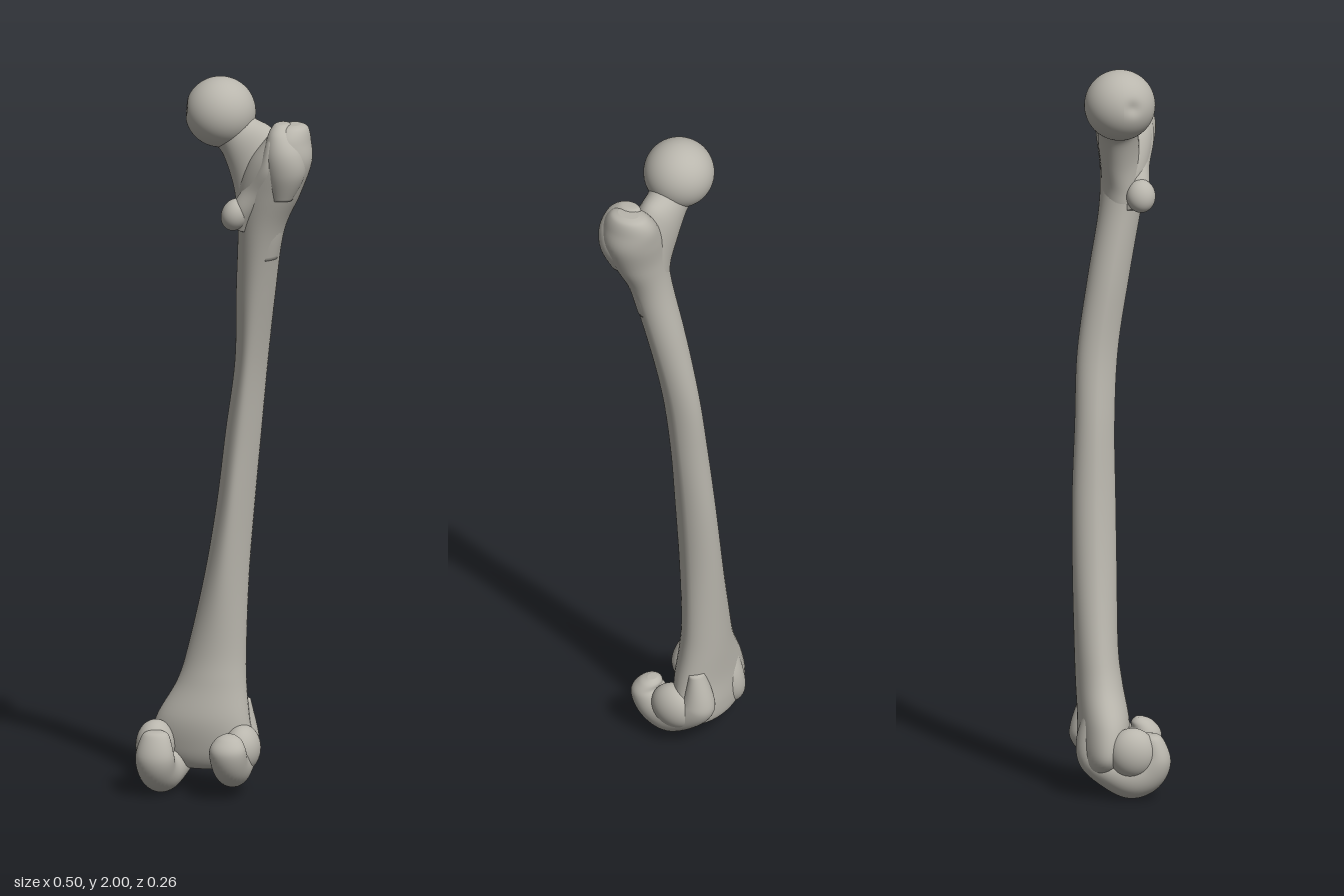
import * as THREE from 'three';

const RING = 40, STEPS = 7;

// Smooth loft through elliptical sections: [x, y, z, radius, zRadius, tiltDegrees, taper]
// The ring's first axis is tilted in the xy plane, the second is z; taper narrows the +z side.
function loft(sections) {
  const rows = [];
  const n = sections.length;
  const at = (i, c) => sections[Math.min(n - 1, Math.max(0, i))][c] ?? 0;
  for (let i = 0; i < n - 1; i++) {
    for (let s = 0; s < STEPS + (i === n - 2 ? 1 : 0); s++) {
      const t = s / STEPS;
      rows.push([0, 1, 2, 3, 4, 5, 6].map((c) => {
        const a = at(i - 1, c), b = at(i, c), d = at(i + 1, c), e = at(i + 2, c);
        return b + 0.5 * t * (d - a + t * (2 * a - 5 * b + 4 * d - e + t * (3 * (b - d) + e - a)));
      }));
    }
  }
  const pos = [], index = [];
  for (const [x, y, z, ru, rz, tilt, taper] of rows) {
    const a = THREE.MathUtils.degToRad(tilt);
    for (let j = 0; j < RING; j++) {
      const t = (j / RING) * Math.PI * 2;
      const u = Math.cos(t) * ru * (1 - taper * Math.max(0, Math.sin(t)));
      pos.push(x + u * Math.cos(a), y + u * Math.sin(a), z + Math.sin(t) * rz);
    }
  }
  const last = rows.length - 1;
  for (let i = 0; i < last; i++) {
    for (let j = 0; j < RING; j++) {
      const k = (j + 1) % RING, a = i * RING;
      index.push(a + j, a + RING + j, a + k, a + k, a + RING + j, a + RING + k);
    }
  }
  // End caps
  const base = rows.length * RING;
  pos.push(...rows[0].slice(0, 3), ...rows[last].slice(0, 3));
  for (let j = 0; j < RING; j++) {
    const k = (j + 1) % RING;
    index.push(base, j, k, base + 1, last * RING + k, last * RING + j);
  }
  const g = new THREE.BufferGeometry();
  g.setAttribute('position', new THREE.Float32BufferAttribute(pos, 3));
  g.setIndex(index);
  g.computeVertexNormals();
  return g;
}

// Ball of the joint with a shallow pit on its inner side
function headGeometry(radius) {
  const g = new THREE.SphereGeometry(radius, 64, 48);
  const p = g.attributes.position, v = new THREE.Vector3();
  const pit = new THREE.Vector3(-0.95, 0.1, 0.28).normalize();
  for (let i = 0; i < p.count; i++) {
    v.fromBufferAttribute(p, i);
    const d = v.angleTo(pit) / 0.2;
    v.multiplyScalar(1 - 0.09 * Math.exp(-d * d));
    p.setXYZ(i, v.x, v.y, v.z);
  }
  g.computeVertexNormals();
  return g;
}

export function createModel() {
  const model = new THREE.Group();
  model.name = 'thighBone';
  const bone = new THREE.MeshStandardMaterial({ color: 0xb9b6ad });
  bone.name = 'bone';

  const add = (name, geometry) => {
    const mesh = new THREE.Mesh(geometry, bone);
    mesh.name = name;
    model.add(mesh);
    return mesh;
  };
  const blob = (name, x, y, z, rx, ry, rz) => {
    const mesh = add(name, new THREE.SphereGeometry(1, 40, 28));
    mesh.position.set(x, y, z);
    mesh.scale.set(rx, ry, rz);
    return mesh;
  };

  // Bowed shaft, flaring into the knee end and the outer top
  add('shaft', loft([
    [-0.083, 0.06, -0.055, 0.07, 0.035],
    [-0.083, 0.075, -0.055, 0.115, 0.055],
    [-0.083, 0.12, -0.05, 0.145, 0.066],
    [-0.08, 0.2, -0.045, 0.13, 0.07],
    [-0.058, 0.3, -0.054, 0.097, 0.064, 0, 0.05],
    [-0.044, 0.4, -0.06, 0.081, 0.06, 0, 0.1],
    [-0.018, 0.6, -0.061, 0.062, 0.061, 0, 0.25],
    [0.007, 0.8, -0.06, 0.053, 0.06, 0, 0.35],
    [0.03, 1.0, -0.055, 0.05, 0.055, 0, 0.35],
    [0.055, 1.2, -0.044, 0.046, 0.056, 0, 0.35],
    [0.076, 1.4, -0.012, 0.055, 0.057, 0, 0.25],
    [0.1, 1.58, 0.022, 0.064, 0.058, 0, 0.1],
    [0.128, 1.69, 0.038, 0.086, 0.066],
    [0.16, 1.78, 0.043, 0.087, 0.078],
    [0.18, 1.84, 0.038, 0.063, 0.074],
    [0.192, 1.875, 0.034, 0.042, 0.055],
    [0.195, 1.886, 0.034, 0.02, 0.03],
  ]));

  // Neck rising from the shaft to the head
  add('neck', loft([
    [0.1, 1.5, 0.012, 0.045, 0.045, 5],
    [0.106, 1.6, 0.024, 0.066, 0.052, 15],
    [0.102, 1.69, 0.026, 0.085, 0.055, 38],
    [0.078, 1.78, 0.016, 0.095, 0.056, 54],
    [0.034, 1.838, 0.01, 0.067, 0.056, 52],
    [0.005, 1.872, 0.008, 0.066, 0.064, 50],
    [-0.02, 1.9, 0.008, 0.06, 0.06, 50],
  ]));
  add('head', headGeometry(0.097)).position.set(-0.018, 1.903, 0.008);

  // Outer knob, the crest behind it and the small inner knob
  add('greaterTrochanter', loft([
    [0.17, 1.68, 0.07, 0.03, 0.03],
    [0.18, 1.75, 0.07, 0.055, 0.055],
    [0.178, 1.81, 0.072, 0.055, 0.058],
    [0.17, 1.86, 0.062, 0.038, 0.05],
    [0.167, 1.886, 0.05, 0.022, 0.032],
    [0.168, 1.891, 0.048, 0.008, 0.012],
  ]));
  add('trochantericCrest', loft([
    [0.05, 1.59, 0.055, 0.02, 0.025, -20],
    [0.06, 1.64, 0.065, 0.032, 0.034, -25],
    [0.1, 1.7, 0.07, 0.034, 0.034, -25],
    [0.138, 1.77, 0.085, 0.028, 0.036, -20],
    [0.152, 1.84, 0.08, 0.02, 0.034, -5],
    [0.157, 1.87, 0.07, 0.01, 0.018],
  ]));
  blob('lesserTrochanter', 0.04, 1.633, 0.073, 0.037, 0.046, 0.04).rotation.z = -0.4;

  // Rocker-shaped knee knuckles, drawn in a side plane and turned to face forward
  const condyle = (name, back, front, lift, width) => {
    const x = (t) => back + (front - back) * t;
    add(name, loft([
      [-0.068, 0.18, x(0), 0.012, 0.015, -180],
      [-0.075, 0.168, x(0), 0.03, width * 0.7, -180],
      [-0.085, 0.115 + lift, x(0), 0.044, width, -165],
      [-0.06, 0.075 + lift, x(0), 0.056, width, -125],
      [-0.015, 0.06 + lift, x(0.1), 0.06, width, -90],
      [0.035, 0.08 + lift, x(0.4), 0.053, width, -60],
      [0.075, 0.115 + lift, x(0.8), 0.05, width * 0.95, -30],
      [0.08, 0.17, x(1), 0.042, width * 0.85, 0],
      [0.075, 0.25, x(0.9), 0.02, width * 0.5, 5],
    ])).rotation.y = Math.PI / 2;
  };
  condyle('innerCondyle', -0.183, -0.125, 0, 0.053);
  condyle('outerCondyle', 0.022, 0.02, 0.025, 0.05);

  // Side bulges above the knuckles
  blob('innerEpicondyle', -0.198, 0.13, 0.02, 0.053, 0.07, 0.065);
  blob('outerEpicondyle', 0.037, 0.125, -0.015, 0.05, 0.065, 0.07);

  return model;
}
